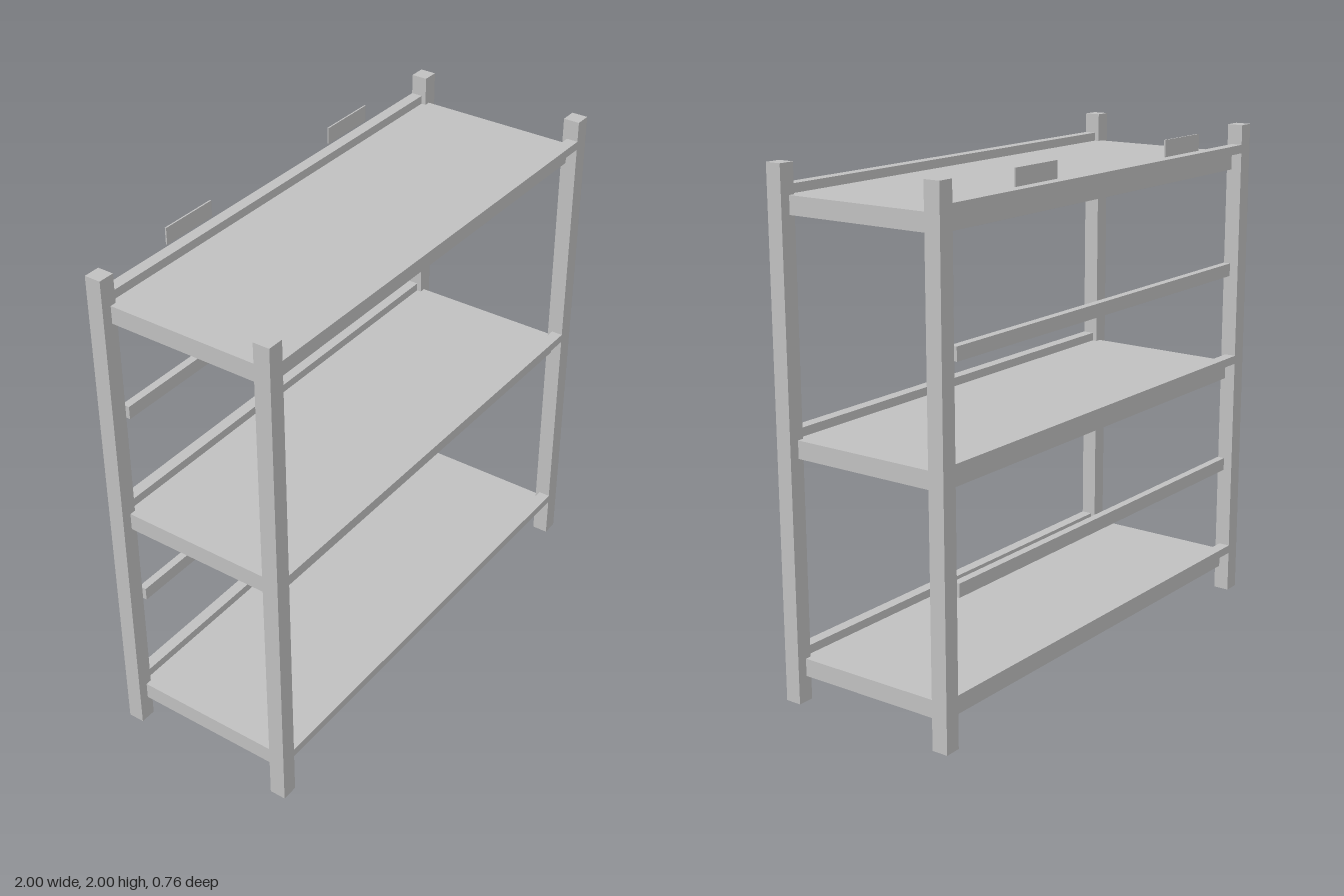
import * as THREE from 'three';

export function createModel() {
  const model = new THREE.Group();
  model.name = 'shelvingUnit';
  const grey = new THREE.MeshStandardMaterial({ color: 0xc0c0c0 });
  grey.name = 'lightGrey';

  // Box given by its lower and upper limits on each axis
  const box = (name, [x0, x1], [y0, y1], [z0, z1]) => {
    const mesh = new THREE.Mesh(new THREE.BoxGeometry(x1 - x0, y1 - y0, z1 - z0), grey);
    mesh.name = name;
    mesh.position.set((x0 + x1) / 2, (y0 + y1) / 2, (z0 + z1) / 2);
    model.add(mesh);
  };
  // Range from a to b, mirrored when side is -1
  const span = (side, a, b) => (side > 0 ? [a, b] : [-b, -a]);

  const depth = 0.381, postInner = 0.935;

  // Corner posts
  for (const sx of [-1, 1])
    for (const sz of [-1, 1])
      box(`${sz > 0 ? 'front' : 'back'}${sx > 0 ? 'Left' : 'Right'}Post`,
        span(sx, postInner, 1), [0, 2], span(sz, 0.316, depth));

  // Shelf boards with overhanging lips along front and back
  for (const [level, y] of [['lower', 0.1], ['middle', 0.94], ['upper', 1.818]]) {
    box(`${level}Shelf`, [-0.96, 0.96], [y, y + 0.069], [-0.337, 0.337]);
    for (const sz of [-1, 1])
      box(`${level}${sz > 0 ? 'Front' : 'Back'}Lip`,
        [-postInner, postInner], [y + 0.069, y + 0.103], span(sz, 0.335, depth));
  }

  // Horizontal bars across the back
  for (const [level, y] of [['lower', 0.55], ['upper', 1.386]])
    box(`${level}BackBar`, [-0.9, 0.9], [y, y + 0.052], [-0.364, -0.333]);

  // Thin plates above the top back lip
  for (const sx of [-1, 1])
    box(`${sx > 0 ? 'left' : 'right'}Plate`, span(sx, 0.352, 0.597), [1.932, 1.997], [-depth, -0.375]);

  return model;
}
